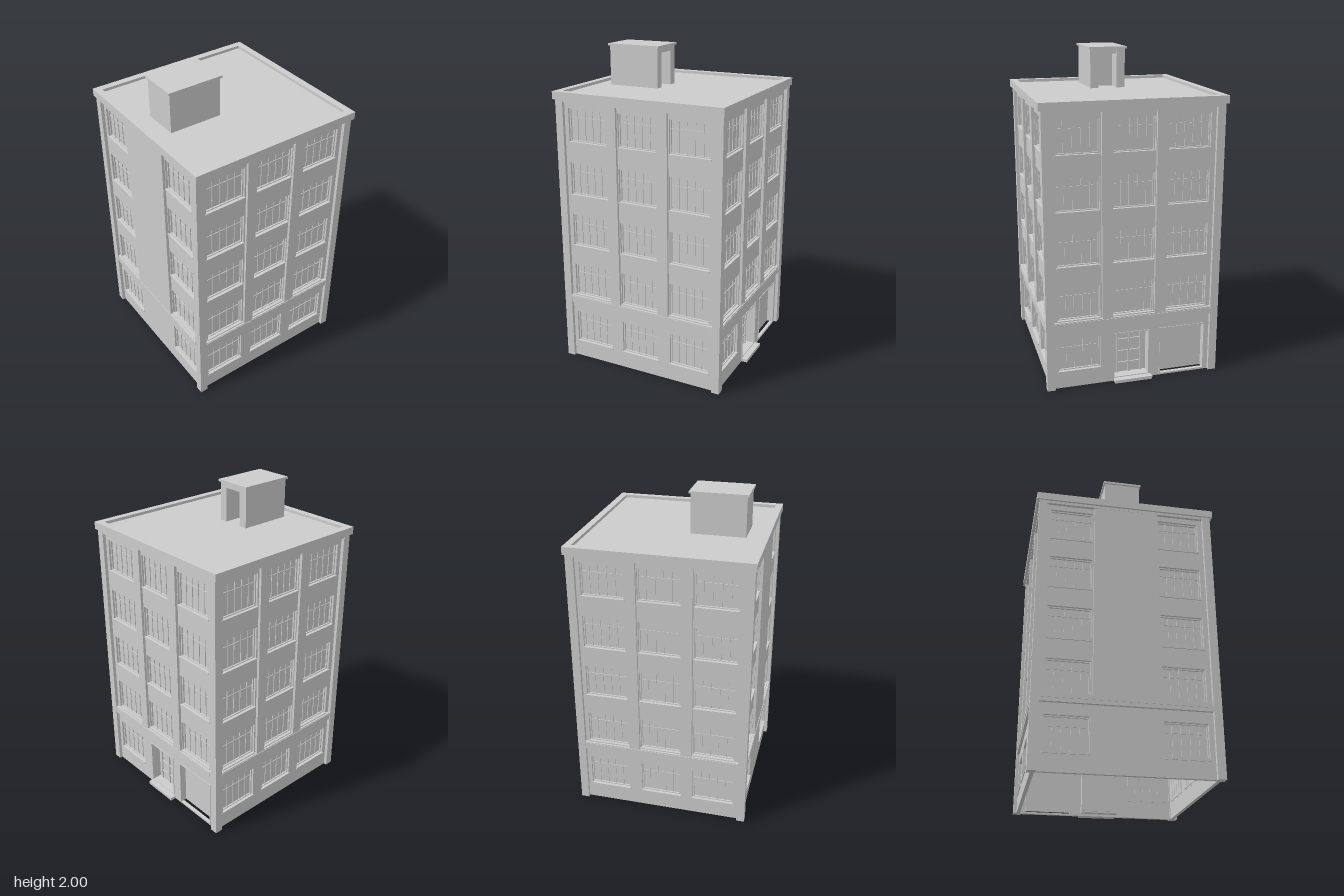
import * as THREE from 'three';

const mat = new THREE.MeshStandardMaterial({ color: 0xcccccc, flatShading: true, side: THREE.DoubleSide });

// Facade measures: u runs to the right along a wall, d is the distance outward
const COLS = [[-0.47, -0.21], [-0.13, 0.125], [0.205, 0.465]];
const ROWS = [[0.11, 0.32], [0.445, 0.655], [0.785, 0.99], [1.12, 1.325], [1.455, 1.66]];
const PIERS = [[-0.2, -0.135], [0.13, 0.2]];
const FACE = 0.545, WALL = 0.525, GLASS = 0.502, TOP = 1.715;

// Box given by its limits on each axis
function box(parent, name, x0, x1, y0, y1, z0, z1) {
  const m = new THREE.Mesh(new THREE.BoxGeometry(x1 - x0, y1 - y0, z1 - z0), mat);
  m.position.set((x0 + x1) / 2, (y0 + y1) / 2, (z0 + z1) / 2);
  m.name = name;
  parent.add(m);
  return m;
}

function rect(Type, x0, x1, y0, y1) {
  const p = new Type();
  p.moveTo(x0, y0);
  p.lineTo(x1, y0);
  p.lineTo(x1, y1);
  p.lineTo(x0, y1);
  p.closePath();
  return p;
}

function extrude(shape, depth, name) {
  const m = new THREE.Mesh(new THREE.ExtrudeGeometry(shape, { depth, bevelEnabled: false }), mat);
  m.name = name;
  return m;
}

// Window: pane, slim frame, mullions, transom and sill
function addWindow(parent, u0, u1, y0, y1) {
  const g = new THREE.Group();
  g.name = 'window';
  const t = 0.008, w = u1 - u0;
  box(g, 'pane', u0, u1, y0, y1, GLASS - 0.004, GLASS);
  const frame = rect(THREE.Shape, u0, u1, y0, y1);
  frame.holes.push(rect(THREE.Path, u0 + t, u1 - t, y0 + t, y1 - t));
  const f = extrude(frame, 0.012, 'windowFrame');
  f.position.z = GLASS - 0.002;
  g.add(f);
  for (let i = 1; i < 5; i++) {
    const u = u0 + (w * i) / 5;
    box(g, 'mullion', u - 0.002, u + 0.002, y0 + t, y1 - t, GLASS - 0.006, GLASS + 0.005);
  }
  const yt = y0 + (y1 - y0) * 0.72;
  box(g, 'transom', u0 + t, u1 - t, yt - 0.002, yt + 0.002, GLASS - 0.006, GLASS + 0.004);
  box(g, 'sill', u0 - 0.004, u1 + 0.004, y0 - 0.008, y0 + 0.002, GLASS, WALL + 0.006);
  parent.add(g);
}

// Recessed opening lined with jambs and a head, closed by a back panel
function addRecess(parent, name, u0, u1, y0, y1, depth) {
  const g = new THREE.Group();
  g.name = name;
  const b = WALL - depth, t = 0.008;
  box(g, 'doorPanel', u0, u1, y0, y1, b - 0.006, b);
  box(g, 'doorJamb', u0, u0 + t, y0, y1, b, WALL + 0.004);
  box(g, 'doorJamb', u1 - t, u1, y0, y1, b, WALL + 0.004);
  box(g, 'doorHead', u0, u1, y1 - t, y1, b, WALL + 0.004);
  parent.add(g);
  return g;
}

function makeFacade(name, kind) {
  const g = new THREE.Group();
  g.name = name;
  const wall = rect(THREE.Shape, -WALL, WALL, 0, TOP);
  COLS.forEach(([u0, u1], c) => ROWS.forEach(([y0, y1], r) => {
    if (kind === 'blankCentre' && c === 1) return;
    if (kind === 'entrance' && r === 0 && c > 0) return;
    wall.holes.push(rect(THREE.Path, u0, u1, y0, y1));
    addWindow(g, u0, u1, y0, y1);
  }));

  if (kind === 'entrance') {
    // Double entrance door with rails, and a wide service door
    wall.holes.push(rect(THREE.Path, -0.13, 0.105, 0.025, 0.325));
    wall.holes.push(rect(THREE.Path, 0.17, 0.47, 0.012, 0.325));
    const door = addRecess(g, 'entranceDoor', -0.13, 0.105, 0.025, 0.325, 0.06);
    const b = WALL - 0.06;
    for (const u of [-0.09, -0.0125, 0.065])
      box(door, 'doorStile', u - 0.005, u + 0.005, 0.025, 0.317, b, b + 0.01);
    for (const y of [0.09, 0.17, 0.25])
      box(door, 'doorRail', -0.09, 0.065, y - 0.004, y + 0.004, b, b + 0.008);
    box(door, 'threshold', -0.13, 0.105, 0.015, 0.025, b, WALL);
    addRecess(g, 'serviceDoor', 0.17, 0.47, 0.012, 0.325, 0.04);
    box(g, 'entranceStep', -0.125, 0.115, 0, 0.02, WALL, 0.563);
  }

  const w = extrude(wall, 0.022, 'wall');
  w.position.z = WALL - 0.022;
  g.add(w);

  // Raised strips between the window columns
  if (kind === 'blankCentre') {
    box(g, 'blankPanel', -0.2, 0.2, 0.44, TOP, WALL - 0.005, FACE - 0.003);
  } else {
    for (const [u0, u1] of PIERS) box(g, 'pier', u0, u1, 0.44, TOP, WALL - 0.005, FACE - 0.003);
  }
  box(g, 'floorBand', -0.5, 0.5, 0.39, 0.44, WALL - 0.005, FACE - 0.002);
  box(g, 'bandLip', -0.49, 0.49, 0.414, 0.434, FACE - 0.003, FACE + 0.001);
  box(g, 'topBand', -0.5, 0.5, 1.695, TOP, WALL - 0.005, FACE - 0.002);
  return g;
}

export function createModel() {
  const model = new THREE.Group();
  model.name = 'apartmentBuilding';
  const body = new THREE.Group();
  body.name = 'building';
  body.position.x = -0.005;
  model.add(body);

  // Four facades, each turned to its own side
  [['frontFacade', 'plain'], ['entranceFacade', 'entrance'], ['backFacade', 'plain'], ['blankFacade', 'blankCentre']]
    .forEach(([name, kind], i) => {
      const f = makeFacade(name, kind);
      f.rotation.y = (i * Math.PI) / 2;
      body.add(f);
    });

  // Corner pilasters
  for (const sx of [-1, 1]) for (const sz of [-1, 1])
    box(body, 'cornerPilaster', sx * 0.521 - 0.025, sx * 0.521 + 0.025, 0, TOP, sz * 0.521 - 0.025, sz * 0.521 + 0.025);

  // Cornice ring with the roof set slightly below its rim
  const ring = rect(THREE.Shape, -0.555, 0.555, -0.562, 0.562);
  ring.holes.push(rect(THREE.Path, -0.512, 0.512, -0.517, 0.517));
  const cornice = extrude(ring, 0.047, 'cornice');
  cornice.rotation.x = -Math.PI / 2;
  cornice.position.y = 1.713;
  body.add(cornice);
  box(body, 'roof', -0.515, 0.515, 1.72, 1.742, -0.52, 0.52);

  // Roof stair house with a doorway notch on the +x side
  const plan = new THREE.Shape([
    [-0.425, -0.113], [-0.09, -0.113], [-0.09, -0.06], [-0.2, -0.06],
    [-0.2, 0.06], [-0.09, 0.06], [-0.09, 0.113], [-0.425, 0.113],
  ].map(([x, y]) => new THREE.Vector2(x, y)));
  const house = extrude(plan, 0.25, 'stairHouse');
  house.rotation.x = -Math.PI / 2;
  house.position.y = 1.74;
  model.add(house);
  box(model, 'stairHouseLintel', -0.12, -0.091, 1.955, 1.99, -0.061, 0.061);
  box(model, 'stairHouseCap', -0.435, -0.08, 1.986, 2, -0.123, 0.123);
  return model;
}
